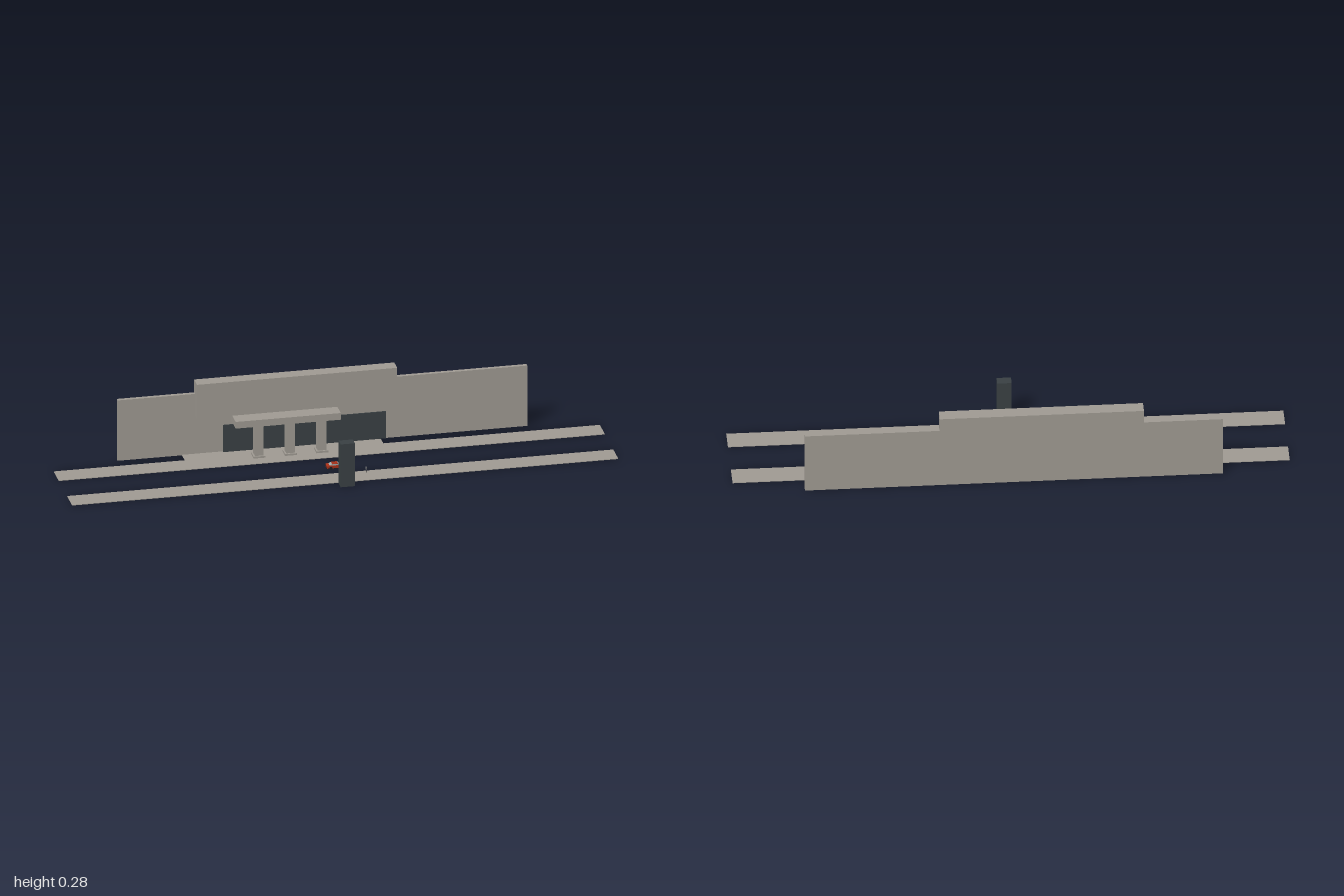
import * as THREE from 'three';

const paint = (name, color) => {
  const m = new THREE.MeshStandardMaterial({ color });
  m.name = name;
  return m;
};

export function createModel() {
  const concrete = paint('concrete', 0xa09b93);
  const darkPanel = paint('dark panel', 0x3a4144);
  const red = paint('car red', 0xa83018);
  const black = paint('rubber black', 0x1c1c1e);
  const window_ = paint('window grey', 0x9fa8a8);
  const lamp = paint('lamp', 0xe8dcc0);
  const clothes = paint('clothes grey', 0x77787a);

  const model = new THREE.Group();
  model.name = 'stationFront';

  const add = (parent, name, geometry, material, x = 0, y = 0, z = 0) => {
    const mesh = new THREE.Mesh(geometry, material);
    mesh.name = name;
    mesh.position.set(x, y, z);
    parent.add(mesh);
    return mesh;
  };
  // Box given by its limits on each axis
  const box = (parent, name, material, [x0, x1], [y0, y1], [z0, z1]) =>
    add(parent, name, new THREE.BoxGeometry(x1 - x0, y1 - y0, z1 - z0), material,
      (x0 + x1) / 2, (y0 + y1) / 2, (z0 + z1) / 2);
  // Side profile in x/y, extruded across z and centred
  const slab = (parent, name, material, points, width) => {
    const shape = new THREE.Shape(points.map(p => new THREE.Vector2(...p)));
    const g = new THREE.ExtrudeGeometry(shape, { depth: width, bevelEnabled: false });
    return add(parent, name, g.translate(0, 0, -width / 2), material);
  };

  // Pavements: a front strip, and a rear one widened up to the entrance
  box(model, 'frontPavement', concrete, [-1, 1], [0, 0.002], [0.085, 0.169]);
  const outline = [[-1, 0.058], [1, 0.058], [1, 0.143], [0.207, 0.143],
    [0.207, 0.193], [-0.52, 0.193], [-0.52, 0.143], [-1, 0.143]];
  const paving = new THREE.ExtrudeGeometry(
    new THREE.Shape(outline.map(p => new THREE.Vector2(...p))), { depth: 0.002, bevelEnabled: false });
  add(model, 'rearPavement', paving.rotateX(-Math.PI / 2), concrete);

  // Building
  box(model, 'backWall', concrete, [-0.755, 0.745], [0, 0.235], [-0.208, -0.193]);
  box(model, 'upperBlock', concrete, [-0.472, 0.261], [0.15, 0.285], [-0.208, -0.158]);
  box(model, 'canopy', concrete, [-0.343, 0.042], [0.127, 0.153], [-0.18, -0.1]);
  box(model, 'entrancePanel', darkPanel, [-0.37, 0.226], [0.002, 0.107], [-0.189, -0.185]);

  // Columns with square bases
  for (const x of [-0.254, -0.139, -0.024]) {
    const column = new THREE.Group();
    column.name = 'column';
    column.position.set(x, 0, -0.127);
    box(column, 'columnShaft', concrete, [-0.016, 0.016], [0.009, 0.127], [-0.016, 0.016]);
    box(column, 'columnBase', concrete, [-0.022, 0.022], [0.002, 0.009], [-0.022, 0.022]);
    model.add(column);
  }

  // Free-standing pylon
  box(model, 'pylon', darkPanel, [-0.025, 0.027], [0, 0.167], [0.174, 0.21]);

  // Car
  const car = new THREE.Group();
  car.name = 'car';
  car.position.set(-0.004, 0, 0.033);
  slab(car, 'carBody', red, [[-0.036, 0.005], [0.036, 0.005], [0.036, 0.011], [0.033, 0.0135],
    [0.015, 0.0145], [-0.028, 0.015], [-0.036, 0.013]], 0.029);
  slab(car, 'cabin', window_, [[-0.027, 0.0145], [0.016, 0.0145], [0.006, 0.0198], [-0.018, 0.0198]], 0.023);
  box(car, 'roof', red, [-0.017, 0.005], [0.0195, 0.0205], [-0.0115, 0.0115]);
  box(car, 'underbody', black, [-0.035, 0.035], [0.0025, 0.006], [-0.0135, 0.0135]);
  const wheel = new THREE.CylinderGeometry(0.0055, 0.0055, 0.005, 16).rotateX(Math.PI / 2);
  for (const side of [-1, 1]) {
    for (const x of [-0.022, 0.022]) add(car, 'wheel', wheel, black, x, 0.0055, side * 0.0128);
    add(car, 'mirror', new THREE.BoxGeometry(0.003, 0.002, 0.003), black, 0.01, 0.015, side * 0.0145);
    add(car, 'headlamp', new THREE.BoxGeometry(0.001, 0.002, 0.005), lamp, 0.036, 0.0095, side * 0.0105);
    add(car, 'tailLamp', new THREE.BoxGeometry(0.001, 0.002, 0.005), black, -0.036, 0.0105, side * 0.0105);
  }
  model.add(car);

  // Pedestrian on the front pavement
  const person = new THREE.Group();
  person.name = 'pedestrian';
  person.position.set(0.092, 0.002, 0.099);
  add(person, 'head', new THREE.SphereGeometry(0.0018, 10, 8), clothes, 0, 0.0205, 0);
  add(person, 'torso', new THREE.CylinderGeometry(0.0024, 0.0018, 0.009, 10), clothes, 0, 0.0145, 0);
  for (const side of [-1, 1]) {
    add(person, 'leg', new THREE.CylinderGeometry(0.0011, 0.0008, 0.0105, 8), black, 0, 0.0053, side * 0.0011);
    add(person, 'arm', new THREE.CylinderGeometry(0.0007, 0.0006, 0.008, 8), clothes, 0, 0.0135, side * 0.003);
  }
  model.add(person);

  return model;
}
